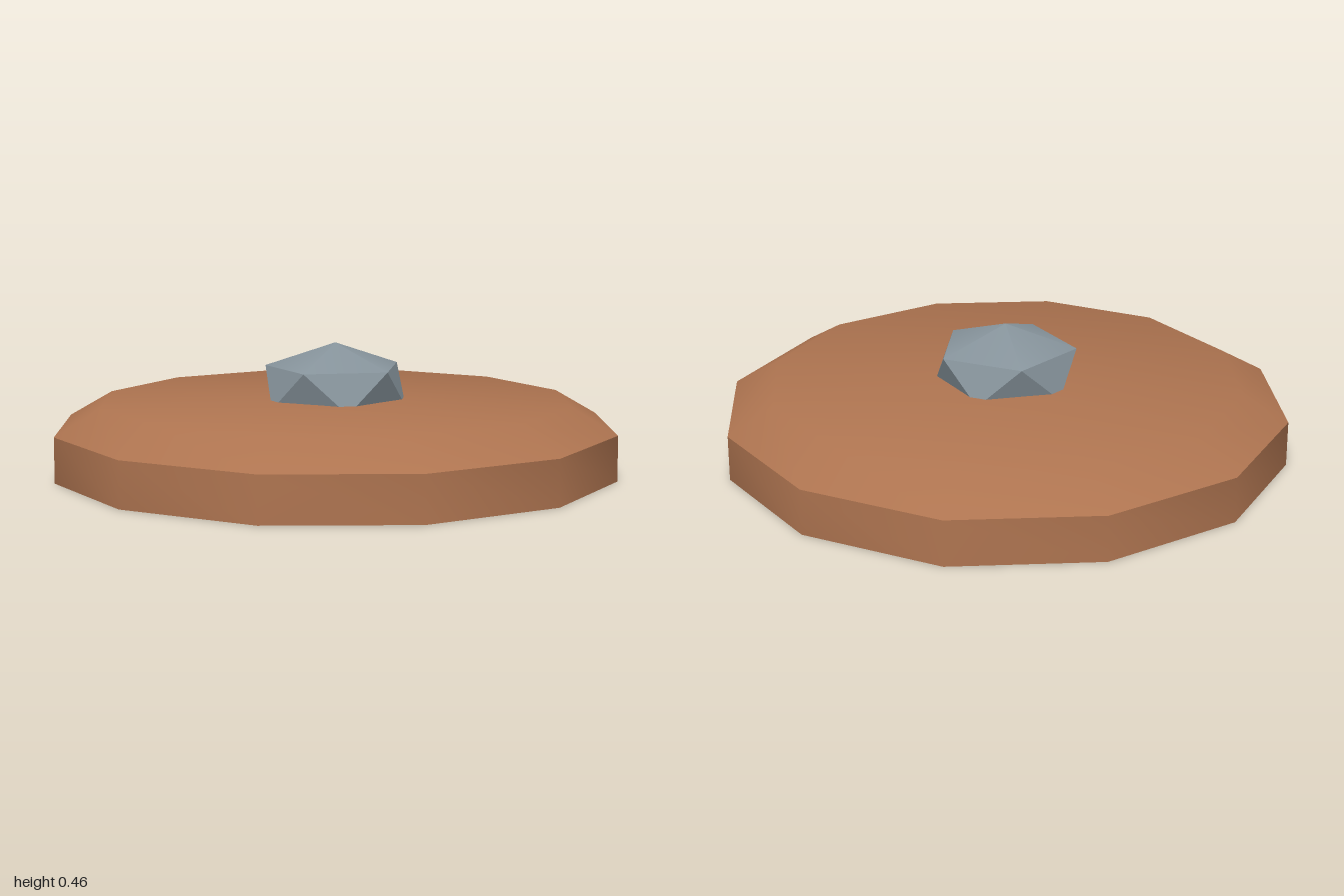
import * as THREE from 'three';
import { toCreasedNormals } from 'three/addons/utils/BufferGeometryUtils.js';

const CREASE = 0.65; // soft across shallow folds, sharp across the rest

export function createModel() {
  const model = new THREE.Group();
  const clay = new THREE.MeshStandardMaterial({ color: 0xae7450 });
  clay.name = 'clay brown';
  const stone = new THREE.MeshStandardMaterial({ color: 0x87949c });
  stone.name = 'stone grey';

  const add = (name, geometry, material) => {
    const mesh = new THREE.Mesh(toCreasedNormals(geometry, CREASE), material);
    mesh.name = name;
    model.add(mesh);
    return mesh;
  };

  // Twelve-sided mound: straight rim, bevelled shoulder, almost flat crown
  const profile = [[0, 0], [1, 0], [1, 0.16], [0.84, 0.252], [0, 0.264]]
    .map(([r, y]) => new THREE.Vector2(r, y));
  add('mound', new THREE.LatheGeometry(profile, 12), clay);

  // Squashed icosahedron standing on a vertex, half sunk in the crown
  const rock = new THREE.IcosahedronGeometry(0.28, 0);
  rock.rotateZ(-Math.atan(2 / (1 + Math.sqrt(5))));
  rock.scale(1, 0.55, 1);
  add('rock', rock, stone).position.y = 0.301;

  return model;
}
